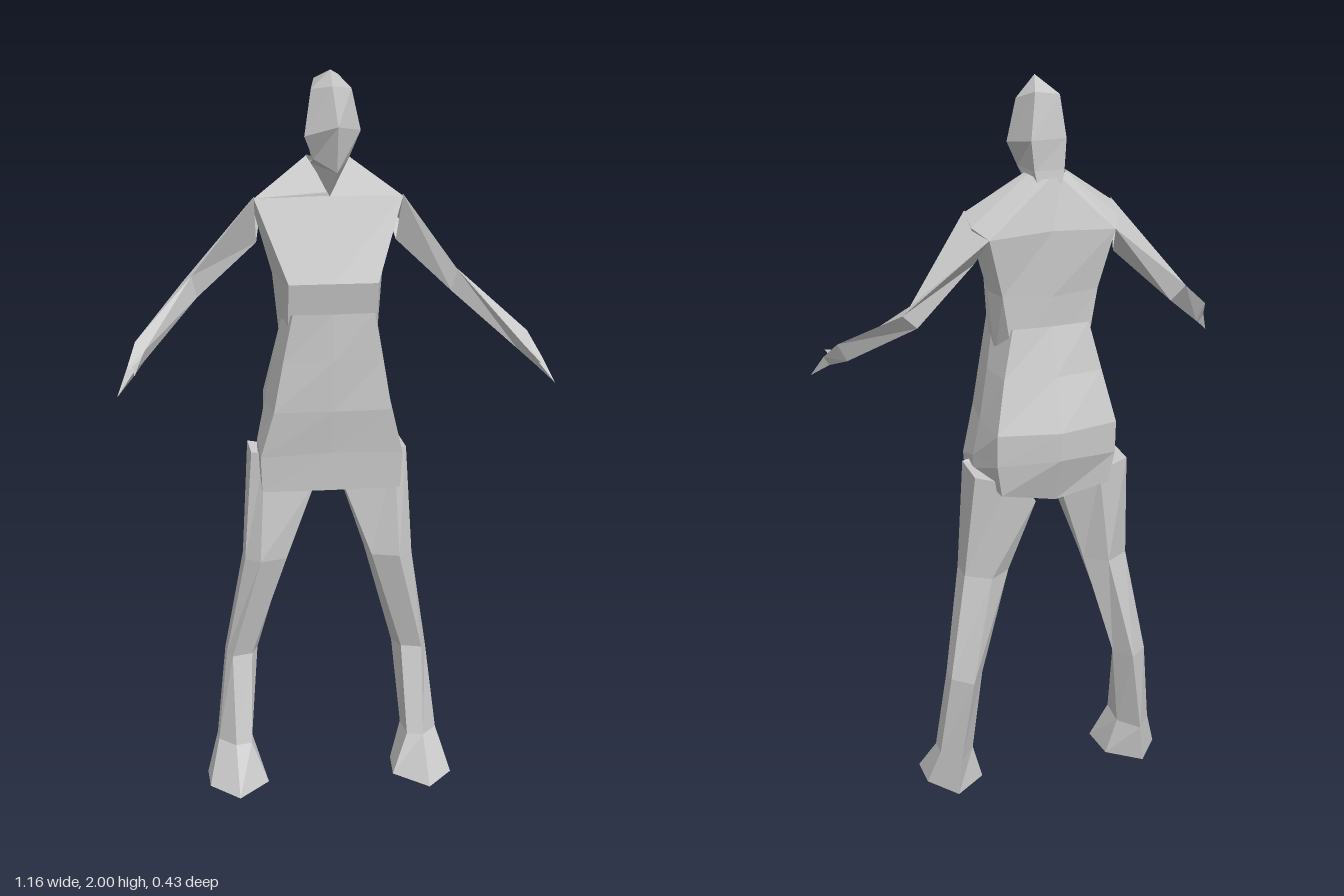
import * as THREE from 'three';

const grey = new THREE.MeshStandardMaterial({ color: 0xcccccc, flatShading: true, side: THREE.DoubleSide });
grey.name = 'plain grey';

// Skins rings of [x, y, z] points; start / end are optional points closing the ends.
function loft(name, rings, start, end) {
  const pos = [];
  const tri = (a, b, c) => pos.push(...a, ...b, ...c);
  const n = rings[0].length;
  for (let i = 0; i < n; i++) {
    const j = (i + 1) % n;
    for (let r = 0; r + 1 < rings.length; r++) {
      const lo = rings[r], hi = rings[r + 1];
      tri(lo[i], lo[j], hi[j]);
      tri(lo[i], hi[j], hi[i]);
    }
    const last = rings[rings.length - 1];
    if (start) tri(start, rings[0][j], rings[0][i]);
    if (end) tri(last[i], last[j], end);
  }
  const geo = new THREE.BufferGeometry();
  geo.setAttribute('position', new THREE.Float32BufferAttribute(pos, 3));
  geo.computeVertexNormals();
  const mesh = new THREE.Mesh(geo, grey);
  mesh.name = name;
  return mesh;
}

const flip = ([x, y, z]) => [-x, y, z];
const flipRing = ring => ring.map(flip).reverse();
// Completes a half ring running from front centre to back centre.
const whole = half => [...half, ...half.slice(1, -1).reverse().map(flip)];

// Builds a limb on the left and its mirror image on the right.
function pair(name, rings, start, end) {
  return [
    loft('left' + name, rings, start, end),
    loft('right' + name, rings.map(flipRing), start && flip(start), end && flip(end)),
  ];
}

export function createModel() {
  const model = new THREE.Group();
  model.name = 'figure';

  // Head: pointed chin, ridged face, slightly turned
  model.add(loft('head', [
    [[0, 1.67, 0], [0.045, 1.75, -0.07], [0.03, 1.73, -0.115], [-0.03, 1.73, -0.115], [-0.045, 1.75, -0.07]],
    [[0.01, 1.74, 0.07], [0.05, 1.77, 0], [0.04, 1.78, -0.11], [-0.04, 1.78, -0.11], [-0.045, 1.77, 0.01]],
    [[0.01, 1.86, 0.09], [0.085, 1.84, -0.02], [0.05, 1.86, -0.115], [-0.045, 1.86, -0.11], [-0.07, 1.83, 0.02]],
    [[0, 1.96, 0.05], [0.06, 1.95, -0.02], [0.035, 1.98, -0.1], [-0.03, 1.97, -0.1], [-0.05, 1.95, 0]],
  ], null, [0, 2, 0.01]));

  // Torso: waist, chest, shoulders, neck opening
  model.add(loft('torso', [
    [[0, 1.27, 0.04], [0.12, 1.27, 0.04], [0.13, 1.27, -0.05], [0.1, 1.27, -0.115], [0, 1.27, -0.12]],
    [[0, 1.45, 0.08], [0.12, 1.45, 0.08], [0.15, 1.46, -0.05], [0.13, 1.46, -0.12], [0, 1.45, -0.13]],
    [[0, 1.67, -0.01], [0.2, 1.665, -0.02], [0.2, 1.64, -0.08], [0.17, 1.62, -0.14], [0, 1.63, -0.14]],
    [[0, 1.68, -0.01], [0.055, 1.77, -0.07], [0.05, 1.77, -0.09], [0.03, 1.76, -0.11], [0, 1.76, -0.115]],
  ].map(whole)));

  // Tunic: flares to the hips, lower at the front, with a raised hem at the sides
  model.add(loft('tunic', [
    [[0, 0.87, 0.04], [0.19, 0.87, 0.035], [0.195, 0.96, -0.05], [0.15, 0.92, -0.165], [0, 0.89, -0.165]],
    [[0, 0.98, 0.05], [0.195, 0.97, 0.045], [0.195, 1, -0.05], [0.165, 1.01, -0.175], [0, 1.02, -0.21]],
    [[0, 1.1, 0.07], [0.16, 1.1, 0.065], [0.175, 1.1, -0.05], [0.165, 1.1, -0.18], [0, 1.1, -0.215]],
    [[0, 1.24, 0.08], [0.135, 1.24, 0.07], [0.15, 1.24, -0.04], [0.135, 1.24, -0.145], [0, 1.24, -0.165]],
    [[0, 1.37, 0.085], [0.11, 1.37, 0.08], [0.13, 1.34, -0.02], [0.105, 1.37, -0.125], [0, 1.37, -0.13]],
  ].map(whole), [0, 0.89, -0.06]));

  // Arms: triangular sections, shoulder to elbow to wrist
  model.add(...pair('Arm', [
    [[0.17, 1.62, -0.14], [0.2, 1.67, -0.02], [0.19, 1.54, -0.07]],
    [[0.39, 1.43, -0.097], [0.365, 1.45, -0.082], [0.35, 1.39, -0.09]],
    [[0.525, 1.31, 0.075], [0.5, 1.29, 0.09], [0.5, 1.26, 0.075]],
  ]));

  // Hands: a flat palm splitting into fingers and thumb
  const wrist = [[0.525, 1.31, 0.075], [0.5, 1.29, 0.09], [0.5, 1.26, 0.075]];
  const fork = [[0.55, 1.255, 0.14], [0.528, 1.255, 0.155], [0.535, 1.23, 0.14]];
  model.add(...pair('Palm', [wrist, fork]));
  model.add(...pair('Fingers', [fork], null, [0.578, 1.19, 0.185]));
  model.add(...pair('Thumb', [[[0.535, 1.26, 0.14], [0.512, 1.275, 0.125], [0.52, 1.25, 0.125]]],
    [0.515, 1.26, 0.11], [0.533, 1.25, 0.21]));

  // Legs: six-sided, from sole through ankle, knee and thigh to hip
  model.add(...pair('Leg', [
    [[0.18, 0, 0.03], [0.27, 0, 0.125], [0.347, 0, 0.035], [0.347, 0, -0.06], [0.28, 0, -0.15], [0.19, 0, -0.08]],
    [[0.225, 0.11, 0], [0.27, 0.11, 0.012], [0.315, 0.11, -0.04], [0.315, 0.11, -0.09], [0.27, 0.11, -0.15], [0.22, 0.11, -0.09]],
    [[0.215, 0.36, -0.06], [0.272, 0.36, -0.042], [0.287, 0.36, -0.07], [0.287, 0.36, -0.12], [0.235, 0.36, -0.167], [0.195, 0.36, -0.11]],
    [[0.12, 0.66, -0.01], [0.195, 0.66, 0.014], [0.235, 0.66, -0.02], [0.235, 0.66, -0.09], [0.17, 0.66, -0.132], [0.11, 0.66, -0.09]],
    [[0.04, 0.87, -0.02], [0.18, 0.97, 0], [0.215, 0.97, -0.015], [0.215, 0.97, -0.135], [0.13, 0.95, -0.155], [0.04, 0.87, -0.12]],
  ], [0.27, 0, -0.03], [0.13, 0.95, -0.06]));

  return model;
}
